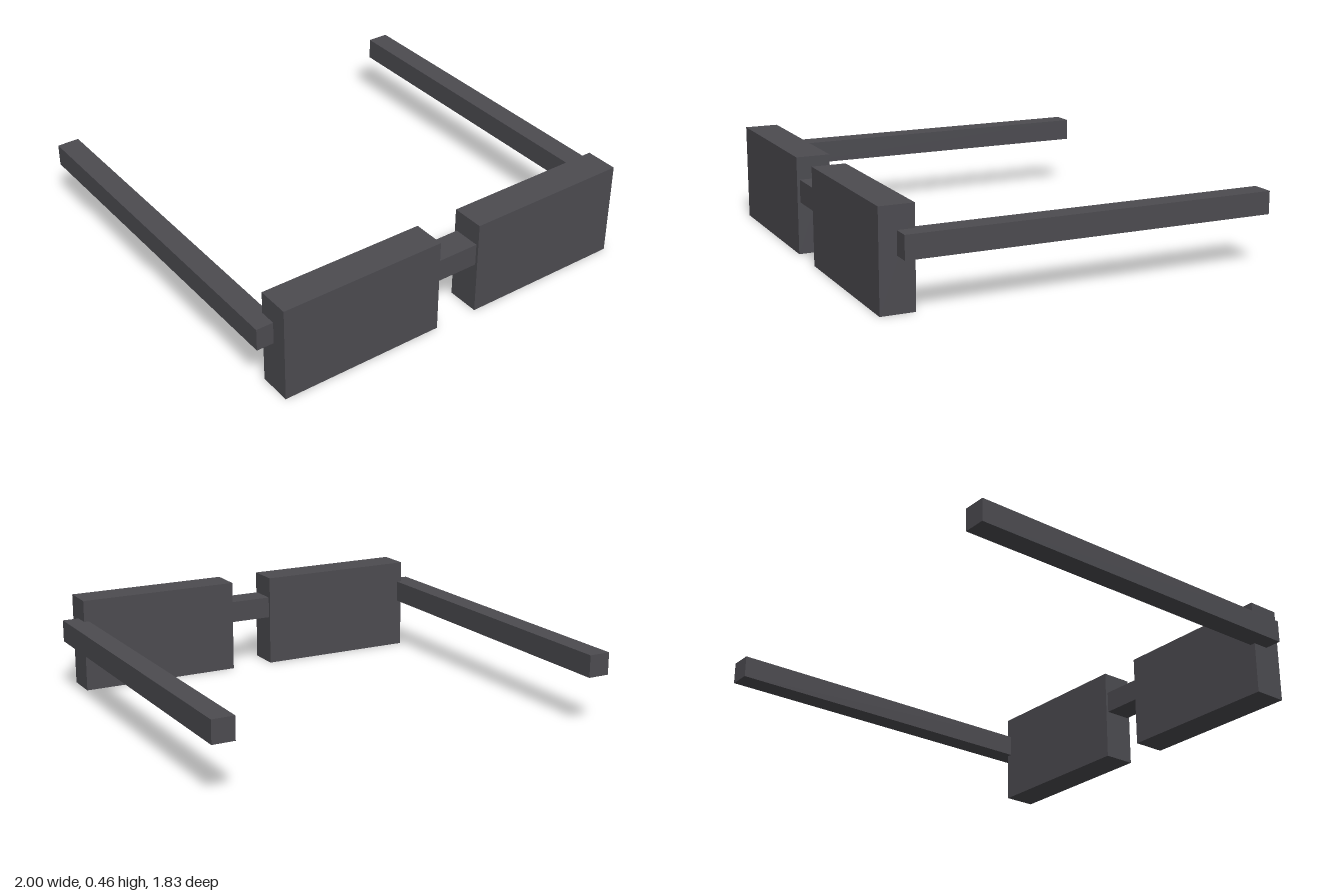
import * as THREE from 'three';

// Box given by its lower and upper corners
function boxBetween(name, material, [x0, y0, z0], [x1, y1, z1]) {
  const mesh = new THREE.Mesh(new THREE.BoxGeometry(x1 - x0, y1 - y0, z1 - z0), material);
  mesh.position.set((x0 + x1) / 2, (y0 + y1) / 2, (z0 + z1) / 2);
  mesh.name = name;
  return mesh;
}

export function createModel() {
  const group = new THREE.Group();
  group.name = 'glasses';
  const darkGrey = new THREE.MeshStandardMaterial({ color: 0x4c4b50 });
  darkGrey.name = 'darkGrey';

  // Lens blocks and temple arms, mirrored left and right
  for (const [side, s] of [['left', 1], ['right', -1]]) {
    const lens = boxBetween(side + 'Lens', darkGrey, [0.108, 0, 0.757], [0.918, 0.46, 0.917]);
    const temple = boxBetween(side + 'Temple', darkGrey, [0.893, 0.247, -0.917], [1, 0.354, 0.837]);
    for (const part of [lens, temple]) {
      part.position.x *= s;
      group.add(part);
    }
  }

  // Nose bridge between the lenses
  group.add(boxBetween('bridge', darkGrey, [-0.112, 0.247, 0.77], [0.112, 0.354, 0.904]));

  return group;
}
